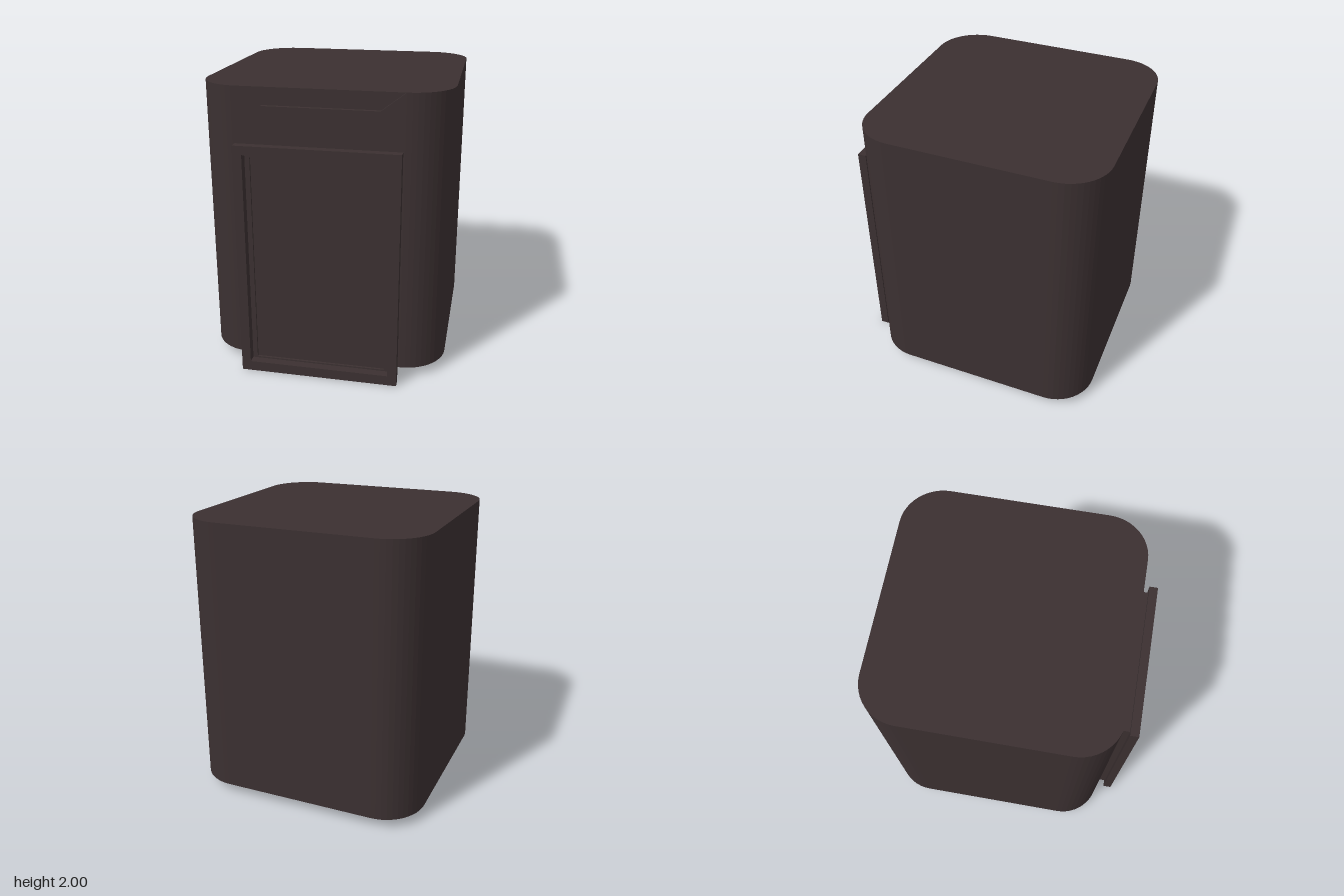
import * as THREE from 'three';

const shell = new THREE.MeshStandardMaterial({ color: 0x3b3031 });
shell.name = 'dark brown shell';

// Rounded footprint, drawn with y = -z; an optional notch is cut into the front edge
function footprint(notchHalf = 0, notchDepth = 0) {
  const w = 0.84, front = -0.77, back = 0.9, r = 0.29;
  const s = new THREE.Shape();
  s.moveTo(-w + r, front);
  if (notchHalf) {
    s.lineTo(-notchHalf, front);
    s.lineTo(-notchHalf, front + notchDepth);
    s.lineTo(notchHalf, front + notchDepth);
    s.lineTo(notchHalf, front);
  }
  s.lineTo(w - r, front);
  s.absarc(w - r, front + r, r, -Math.PI / 2, 0, false);
  s.absarc(w - r, back - r, r, 0, Math.PI / 2, false);
  s.absarc(-w + r, back - r, r, Math.PI / 2, Math.PI, false);
  s.absarc(-w + r, front + r, r, Math.PI, Math.PI * 1.5, false);
  return s;
}

// Closed polygon from a few points
const polygon = (pts) => new THREE.Shape(pts.map(([x, y]) => new THREE.Vector2(x, y)));
const rect = (half, y0, y1) => polygon([[-half, y0], [half, y0], [half, y1], [-half, y1]]);

export function createModel() {
  const model = new THREE.Group();
  const add = (name, geometry) => {
    const mesh = new THREE.Mesh(geometry, shell);
    mesh.name = name;
    model.add(mesh);
  };
  const slab = (name, shape, y0, y1) => {
    const g = new THREE.ExtrudeGeometry(shape, { depth: y1 - y0, bevelEnabled: false, curveSegments: 6 });
    add(name, g.rotateX(-Math.PI / 2).translate(0, y0, 0));
  };
  const plate = (name, shape, z0, z1, hole) => {
    if (hole) shape.holes.push(hole);
    const g = new THREE.ExtrudeGeometry(shape, { depth: z1 - z0, bevelEnabled: false });
    add(name, g.translate(0, 0, z0));
  };

  // Cabinet body, with a shallow grip recess under a thin lid
  slab('body', footprint(), 0.07, 1.875);
  slab('upperBody', footprint(0.545, 0.03), 1.875, 1.994);
  slab('lid', footprint(), 1.994, 2);

  // Slanted ends of the grip recess
  plate('gripEndRight', polygon([[-0.545, 1.875], [-0.39, 1.875], [-0.545, 1.994]]), 0.74, 0.77);
  plate('gripEndLeft', polygon([[0.545, 1.875], [0.545, 1.994], [0.39, 1.875]]), 0.74, 0.77);

  // Front door: neck, recessed panel and raised frame
  plate('doorNeck', rect(0.513, 0.07, 1.61), 0.77, 0.84, rect(0.452, 0.08, 1.55));
  plate('doorPanel', rect(0.452, 0.08, 1.55), 0.77, 0.825);
  plate('doorFrame', rect(0.547, 0, 1.64), 0.84, 0.9, rect(0.485, 0.07, 1.58));

  return model;
}
